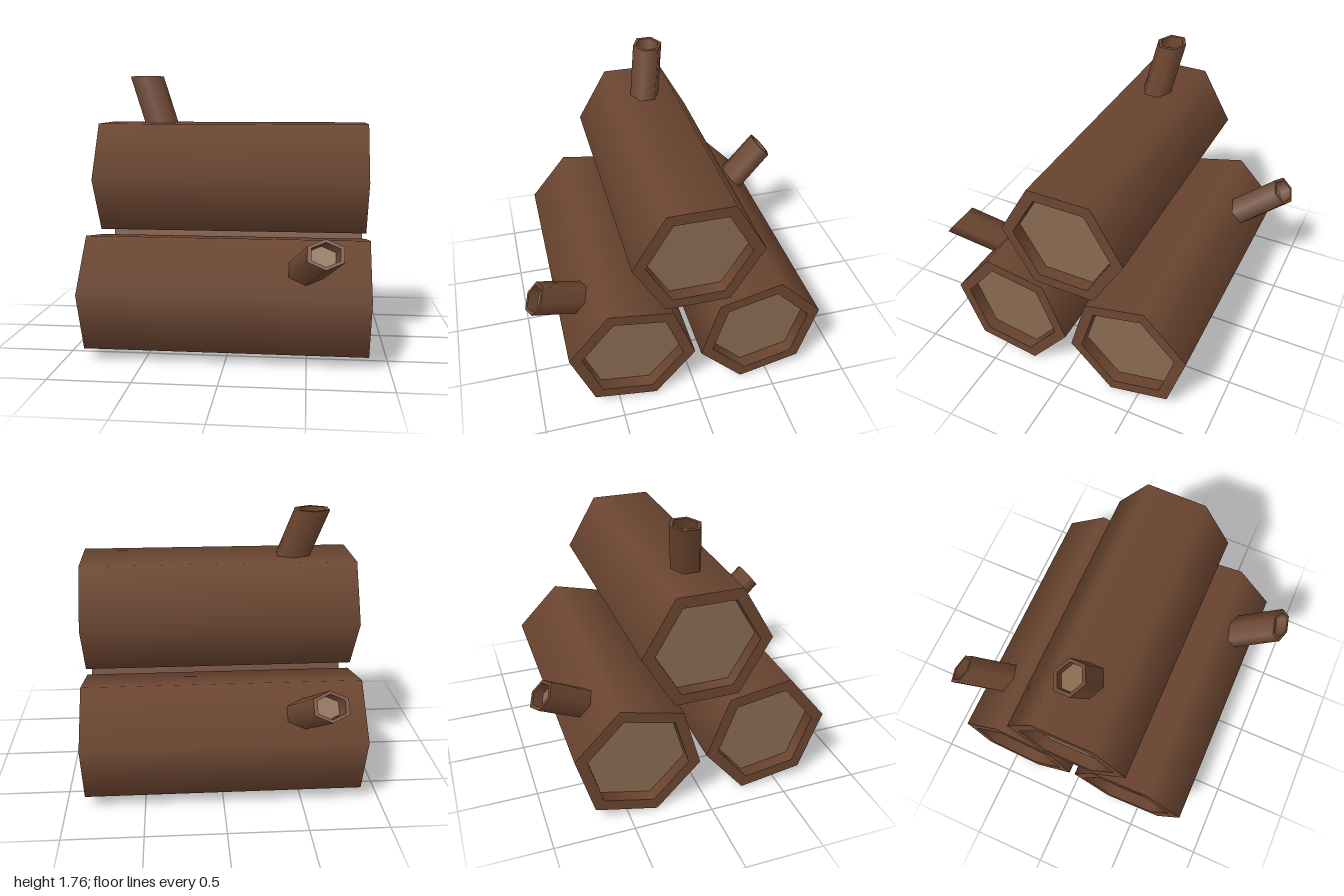
import * as THREE from 'three';

const bark = new THREE.MeshStandardMaterial({ color: 0x6b4530 });
const hollow = new THREE.MeshStandardMaterial({ color: 0x6b4530, side: THREE.BackSide });
const core = new THREE.MeshStandardMaterial({ color: 0x886a50 });
const SIDES = 6;

// Six-sided piece of wood along y with a recessed core at each listed end (+1 top, -1 bottom).
function woodPiece(name, radius, inner, length, depth, ends, matrix) {
  const group = new THREE.Group();
  group.name = name;
  const add = (part, geometry, material) => {
    const mesh = new THREE.Mesh(geometry.applyMatrix4(matrix), material);
    mesh.name = part;
    group.add(mesh);
  };
  add('bark', new THREE.CylinderGeometry(radius, radius, length, SIDES, 1, true), bark);
  for (const end of ends) {
    const face = (geometry, y) => geometry.rotateX(-end * Math.PI / 2).translate(0, end * y, 0);
    add('rim', face(new THREE.RingGeometry(inner, radius, SIDES, 1, Math.PI / 2), length / 2), bark);
    add('recessWall', new THREE.CylinderGeometry(inner, inner, depth, SIDES, 1, true)
      .translate(0, end * (length - depth) / 2, 0), hollow);
    add('core', face(new THREE.CircleGeometry(inner, SIDES, Math.PI / 2), length / 2 - depth), core);
  }
  return group;
}

// A log along x with one slanted branch stub on its upper face.
function log(name) {
  const group = new THREE.Group();
  group.name = name;
  const lieDown = new THREE.Matrix4().makeRotationZ(-Math.PI / 2);
  group.add(woodPiece('trunk', 0.404, 0.325, 1.75, 0.08, [1, -1], lieDown));

  // The stub is sheared, so its cut end stays parallel to the log's face.
  const length = 0.36, slopeX = -0.345, slopeZ = -0.16;
  const shear = new THREE.Matrix4().set(
    1.22, slopeX, 0, -0.6 - slopeX * length / 2,
    0, 1, 0, 0.66 - length / 2,
    0, slopeZ, 1, -0.052 - slopeZ * length / 2,
    0, 0, 0, 1);
  group.add(woodPiece('branchStub', 0.098, 0.076, length, 0.07, [1], shear));
  return group;
}

export function createModel() {
  const model = new THREE.Group();
  model.name = 'logPile';
  // name, y, z, roll about x in degrees, turned end for end
  const layout = [
    ['topLog', 1.1, -0.003, 0, false],
    ['frontLog', 0.392, 0.405, 51, true],
    ['backLog', 0.392, -0.428, -46, false],
  ];
  for (const [name, y, z, roll, turned] of layout) {
    const piece = log(name);
    piece.position.set(0, y, z);
    piece.rotation.set(THREE.MathUtils.degToRad(roll), turned ? Math.PI : 0, 0);
    model.add(piece);
  }
  return model;
}
